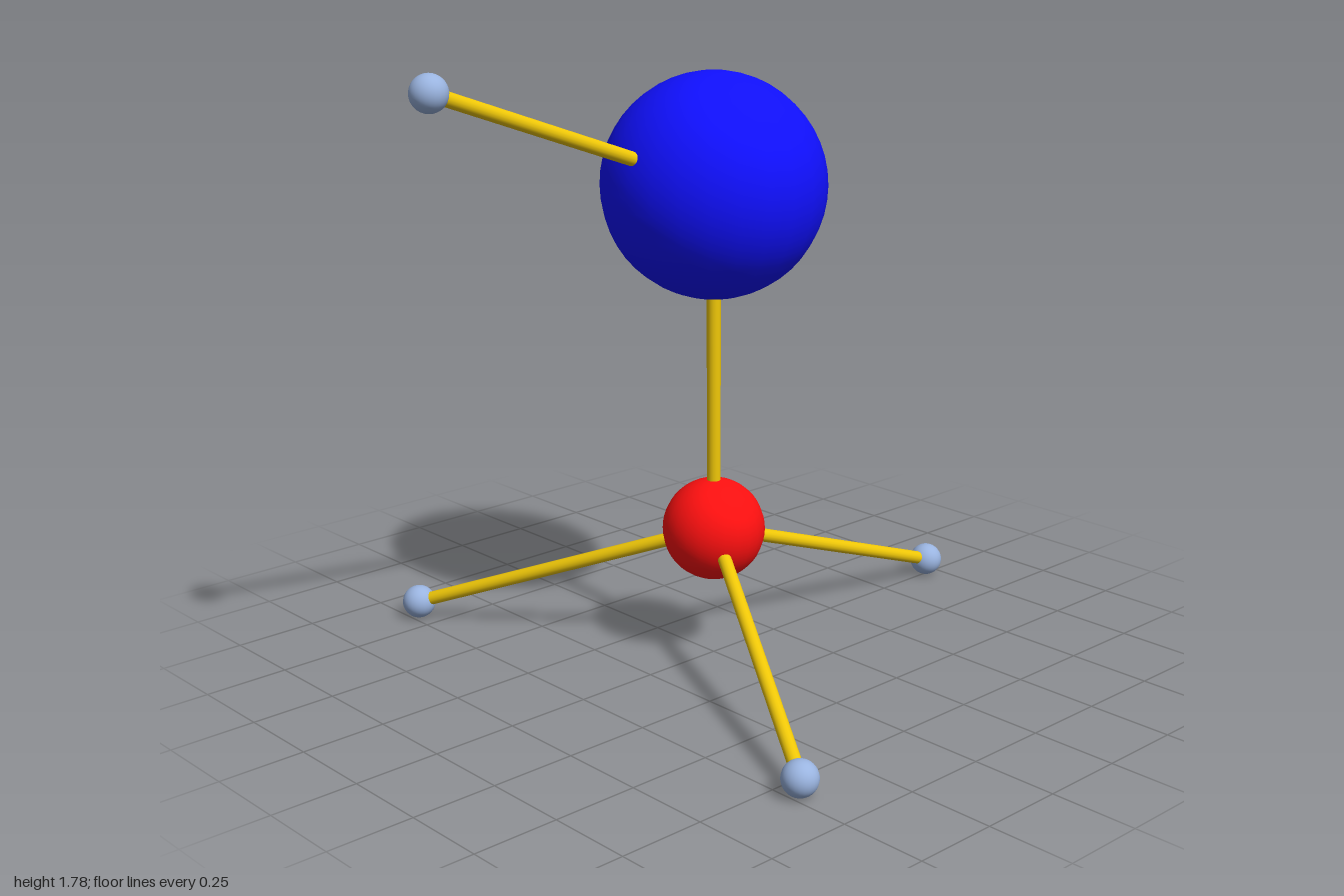
import * as THREE from 'three';

// Ball-and-stick molecule: two large atoms, four small ones, tetrahedral bonds.
export function createModel() {
  const model = new THREE.Group();
  model.name = 'molecule';

  const material = (color) => new THREE.MeshStandardMaterial({ color });
  const blue = material(0x1010ff);
  const red = material(0xff1010);
  const pale = material(0x9ab4e0);
  const yellow = material(0xf0c808);

  const addAtom = (name, center, radius, mat) => {
    const mesh = new THREE.Mesh(new THREE.SphereGeometry(radius, 24, 24), mat);
    mesh.name = name;
    mesh.position.copy(center);
    model.add(mesh);
  };

  const up = new THREE.Vector3(0, 1, 0);
  const addBond = (name, from, to) => {
    const axis = to.clone().sub(from);
    const mesh = new THREE.Mesh(new THREE.CylinderGeometry(0.02, 0.02, axis.length(), 16), yellow);
    mesh.name = name;
    mesh.position.copy(from).add(to).multiplyScalar(0.5);
    mesh.quaternion.setFromUnitVectors(up, axis.normalize());
    model.add(mesh);
  };

  // Central atoms and the bond between them
  const lower = new THREE.Vector3(0, 0.388, 0);
  const upper = new THREE.Vector3(0, 1.397, 0);
  addAtom('lowerAtom', lower, 0.149, red);
  addAtom('upperAtom', upper, 0.319, blue);
  addBond('centralBond', lower, upper);

  // Small outer atoms: horizontal reach and vertical offset of a tetrahedral bond
  const reach = 0.95, rise = 0.337;
  const addOuter = (name, center, angle, dy) => {
    const end = new THREE.Vector3(Math.sin(angle) * reach, dy, Math.cos(angle) * reach).add(center);
    addBond(name + 'Bond', center, end);
    addAtom(name + 'Atom', end, 0.05, pale);
  };
  ['left', 'back', 'right'].forEach((name, i) => {
    addOuter(name, lower, Math.PI / 3 + (i * 2 * Math.PI) / 3, -rise);
  });
  addOuter('top', upper, 0, rise);

  return model;
}
